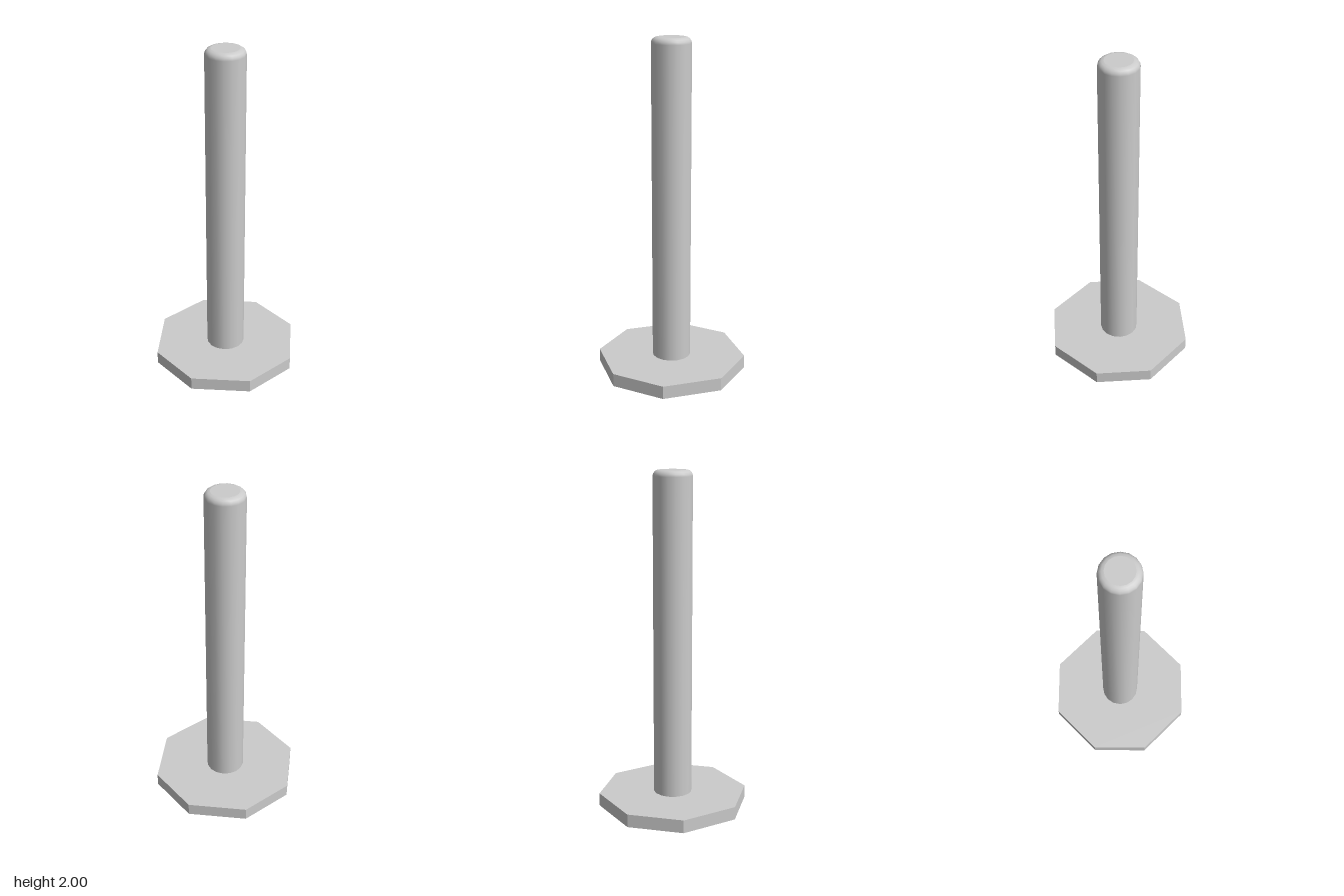
import * as THREE from 'three';

const PLATE_HALF = 0.415, PLATE_CORNER = 0.166, PLATE_HEIGHT = 0.078;
const POST_RADIUS = 0.115, ROUND = 0.035, TOP = 2, SIDES = 16;

export function createModel() {
  const model = new THREE.Group();
  const material = new THREE.MeshStandardMaterial({ color: 0xcccccc });
  const add = (name, geometry, parent = model) => {
    const mesh = new THREE.Mesh(geometry, material);
    mesh.name = name;
    parent.add(mesh);
  };

  // Base plate: a square with its corners cut off
  const a = PLATE_HALF, b = PLATE_CORNER;
  const outline = new THREE.Shape(
    [[a, -b], [a, b], [b, a], [-b, a], [-a, b], [-a, -b], [-b, -a], [b, -a]]
      .map(([x, y]) => new THREE.Vector2(x, y)));
  const plate = new THREE.ExtrudeGeometry(outline, { depth: PLATE_HEIGHT, bevelEnabled: false });
  add('basePlate', plate.rotateX(-Math.PI / 2));

  // Post: a smooth shaft with a rounded upper rim and a flat cap
  const post = new THREE.Group();
  post.name = 'post';
  model.add(post);
  const profile = [new THREE.Vector2(POST_RADIUS, PLATE_HEIGHT - 0.01)];
  for (let i = 0; i <= 4; i++) {
    const t = (i / 4) * Math.PI / 2;
    profile.push(new THREE.Vector2(
      POST_RADIUS - ROUND + ROUND * Math.cos(t), TOP - ROUND + ROUND * Math.sin(t)));
  }
  add('shaft', new THREE.LatheGeometry(profile, SIDES), post);
  add('cap', new THREE.CircleGeometry(POST_RADIUS - ROUND, SIDES)
    .rotateX(-Math.PI / 2).translate(0, TOP, 0), post);

  return model;
}
